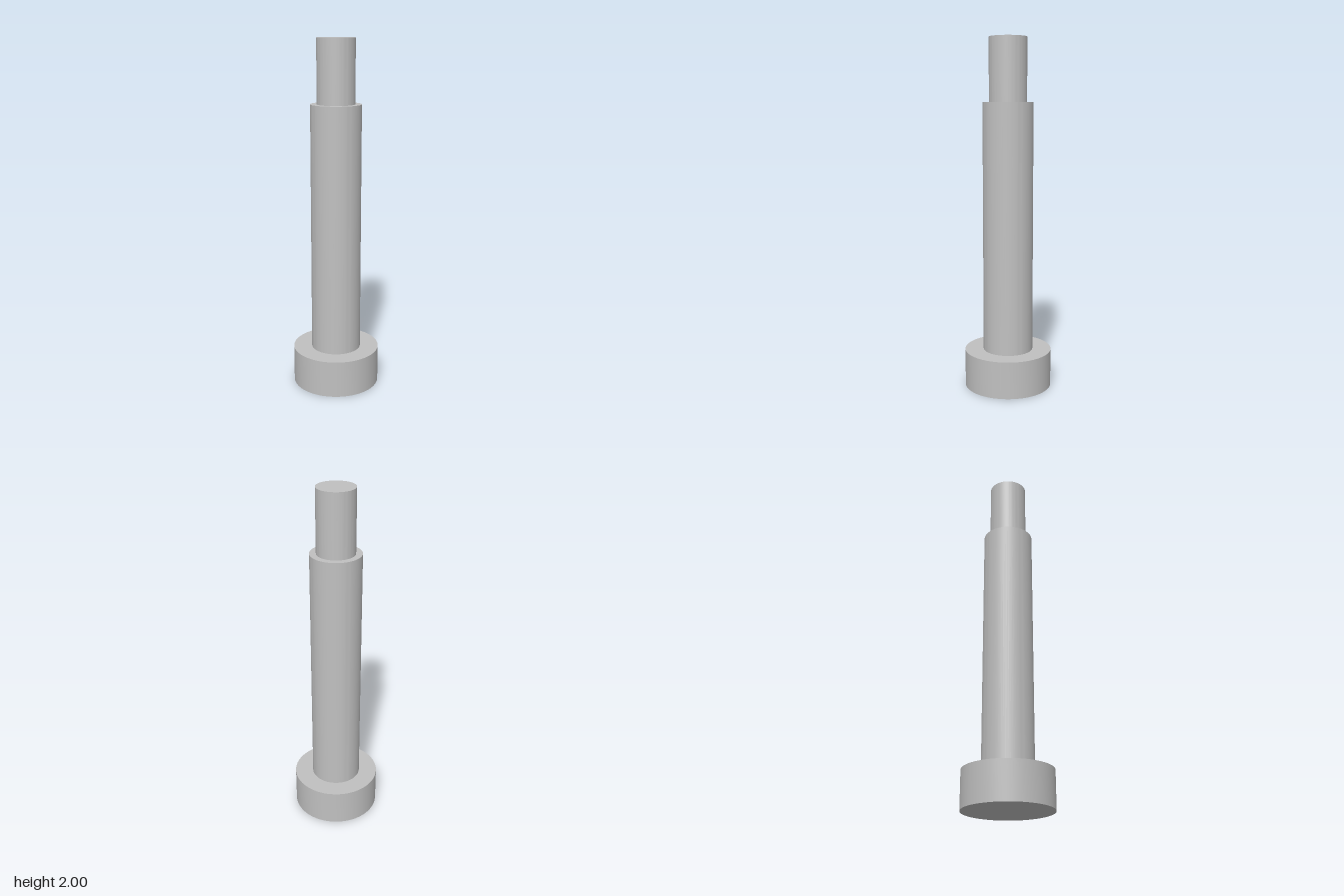
import * as THREE from 'three';
import { toCreasedNormals } from 'three/addons/utils/BufferGeometryUtils.js';

const SEGMENTS = 96;

export function createModel() {
  const group = new THREE.Group();
  group.name = 'shoulderBolt';
  const steel = new THREE.MeshStandardMaterial({ color: 0xc0c0c0 });
  steel.name = 'steelGrey';

  // Turns a profile, listed from bottom to top, into a crisp-edged solid of revolution
  const turned = (name, profile) => {
    const points = profile.map(([r, y]) => new THREE.Vector2(r, y));
    const geometry = toCreasedNormals(new THREE.LatheGeometry(points, SEGMENTS), 0.6);
    const mesh = new THREE.Mesh(geometry, steel);
    mesh.name = name;
    group.add(mesh);
  };

  const headR = 0.25, shoulderR = 0.143, tipR = 0.107;
  const headTop = 0.214, shoulderTop = 1.643, top = 2;

  // Wide disc head: underside, rim and the ledge around the shoulder
  turned('head', [[0, 0], [headR, 0], [headR, headTop], [shoulderR, headTop]]);
  // Long shank with a narrow ledge at its top
  turned('shoulder', [[shoulderR, headTop], [shoulderR, shoulderTop], [tipR, shoulderTop]]);
  // Narrower end pin with a flat cap
  turned('tip', [[tipR, shoulderTop], [tipR, top], [0, top]]);

  return group;
}
